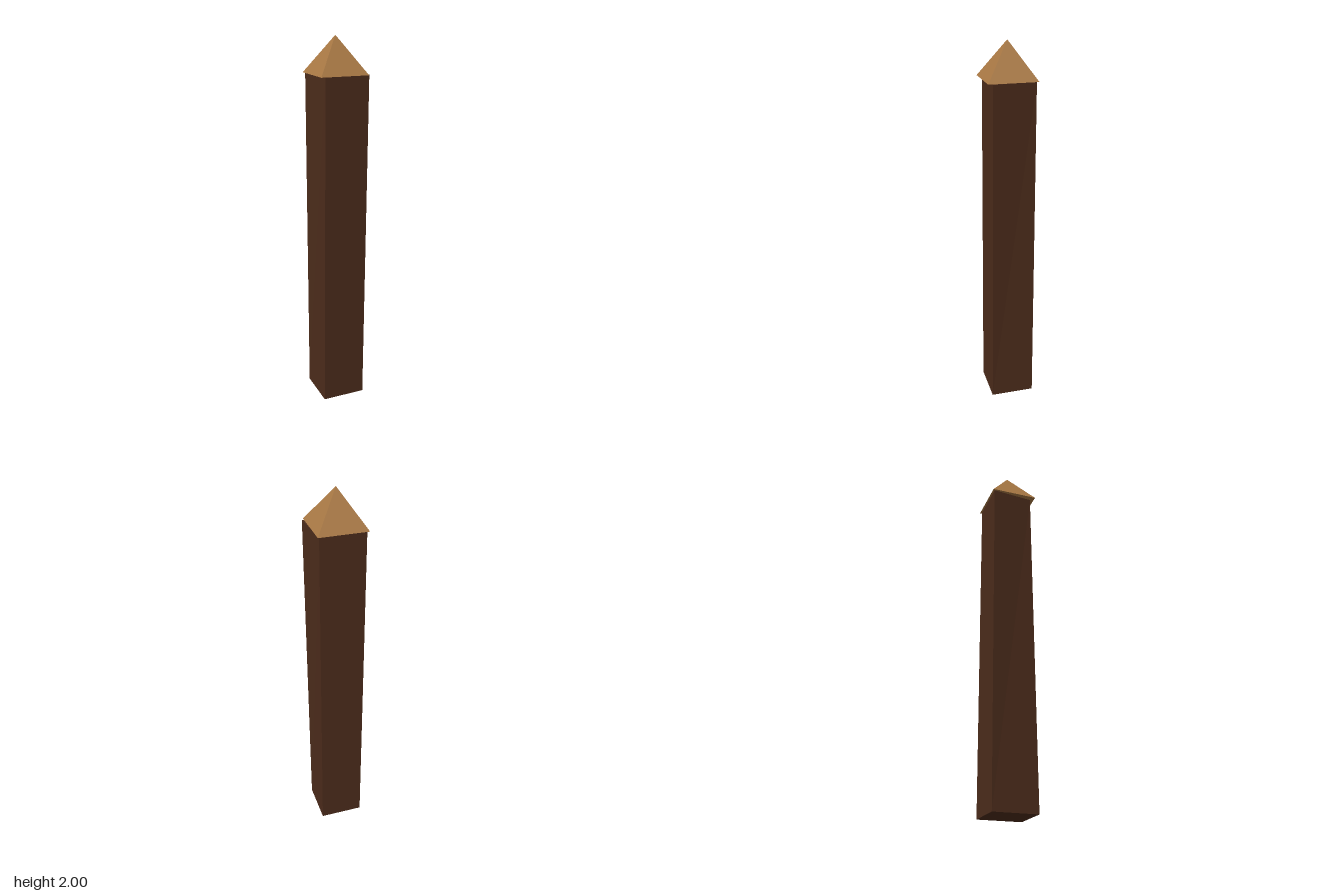
import * as THREE from 'three';

const POST_HEIGHT = 1.81;

function addPart(group, name, geometry, color) {
  const mesh = new THREE.Mesh(geometry, new THREE.MeshStandardMaterial({ color, flatShading: true }));
  mesh.name = name;
  group.add(mesh);
  return mesh;
}

export function createModel() {
  const group = new THREE.Group();
  group.name = 'woodenPost';

  // Square post whose two front top corners are skewed sideways and back
  const post = new THREE.BoxGeometry(0.237, POST_HEIGHT, 0.238);
  post.translate(-0.0065, POST_HEIGHT / 2, -0.001);
  const pos = post.attributes.position;
  for (let i = 0; i < pos.count; i++) {
    if (pos.getY(i) > 1 && pos.getZ(i) > 0) {
      pos.setX(i, pos.getX(i) + 0.02);
      pos.setZ(i, pos.getZ(i) - 0.013);
    }
  }
  post.computeVertexNormals();
  addPart(group, 'post', post, 0x4c2c1b);

  // Pyramid cap, slightly wider than the post
  const capHeight = 2 - POST_HEIGHT;
  const cap = new THREE.ConeGeometry(0.128 * Math.SQRT2, capHeight, 4);
  cap.rotateY(Math.PI / 4);
  addPart(group, 'cap', cap, 0xa87844).position.set(-0.007, POST_HEIGHT + capHeight / 2, -0.002);

  return group;
}
